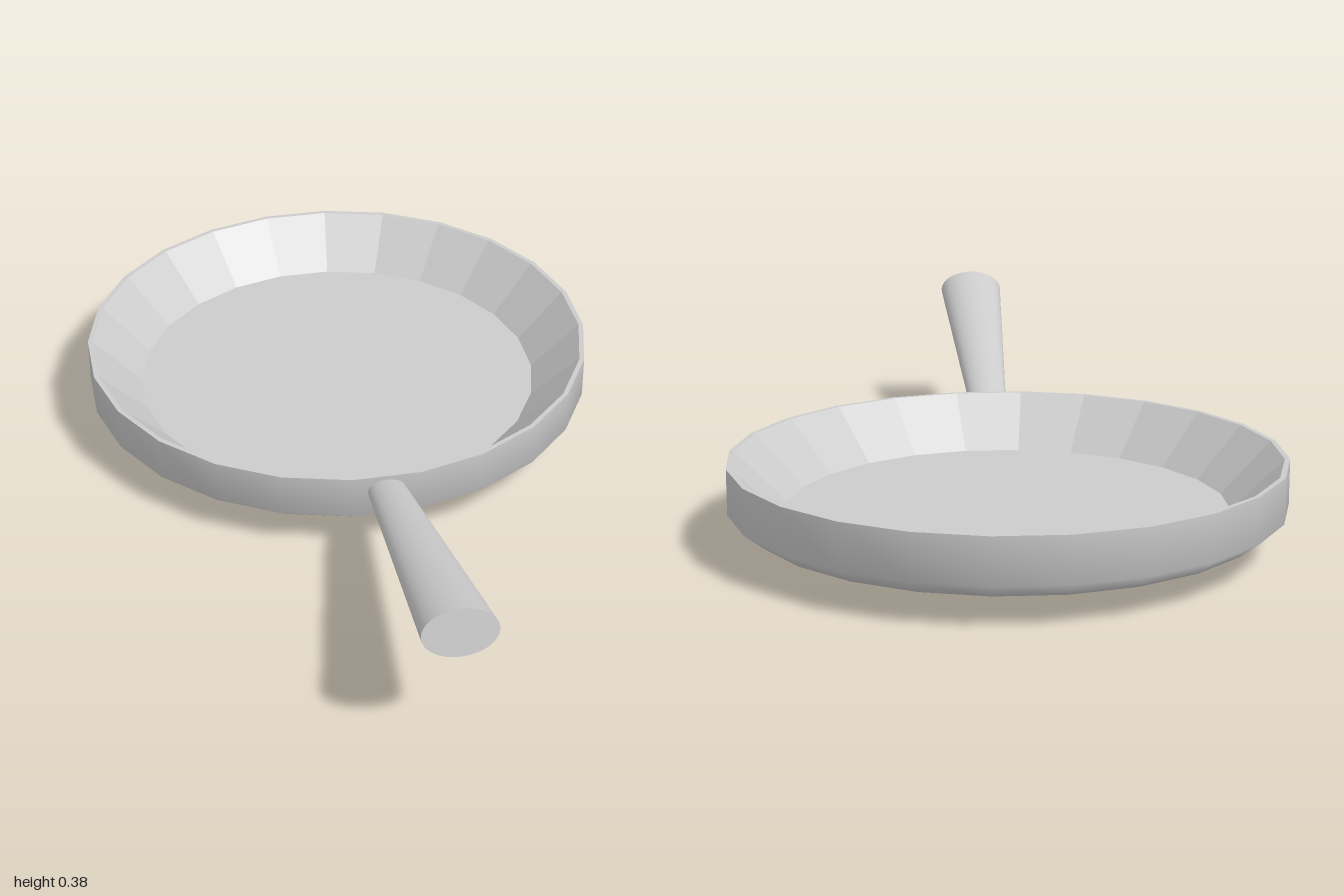
import * as THREE from 'three';

const SIDES = 24;

// Revolve a short [radius, height] profile, listed from outside bottom to inside
function lathe(name, profile, flatShading = false) {
  const points = profile.map(([r, y]) => new THREE.Vector2(r, y));
  const geometry = new THREE.LatheGeometry(points, SIDES, Math.PI / SIDES);
  const material = new THREE.MeshStandardMaterial({ color: 0xcccccc, flatShading });
  const mesh = new THREE.Mesh(geometry, material);
  mesh.name = name;
  return mesh;
}

export function createModel() {
  const model = new THREE.Group();
  model.name = 'fryingPan';

  // Pan body: base, smooth outer wall, thin rim, faceted inner wall and floor
  const pan = new THREE.Group();
  pan.name = 'pan';
  pan.position.z = -0.37;
  pan.add(
    lathe('base', [[0, 0], [0.4, 0]], true),
    lathe('outerWall', [[0.4, 0], [0.59, 0.06], [0.635, 0.095], [0.635, 0.2]]),
    lathe('rim', [[0.635, 0.2], [0.623, 0.2]], true),
    lathe('innerWall', [[0.623, 0.2], [0.505, 0.08]], true),
    lathe('cookingFloor', [[0.505, 0.08], [0, 0.08]], true)
  );
  model.add(pan);

  // Handle: oval, widening and rising away from the pan
  const start = new THREE.Vector3(0, 0.157, 0.25);
  const end = new THREE.Vector3(0, 0.332, 0.988);
  const axis = end.clone().sub(start);
  const handle = new THREE.Mesh(
    new THREE.CylinderGeometry(0.083, 0.045, axis.length(), 32).scale(1, 1, 0.65),
    new THREE.MeshStandardMaterial({ color: 0xcccccc })
  );
  handle.name = 'handle';
  handle.position.copy(start).add(end).multiplyScalar(0.5);
  handle.rotation.x = Math.atan2(axis.z, axis.y);
  model.add(handle);

  return model;
}
